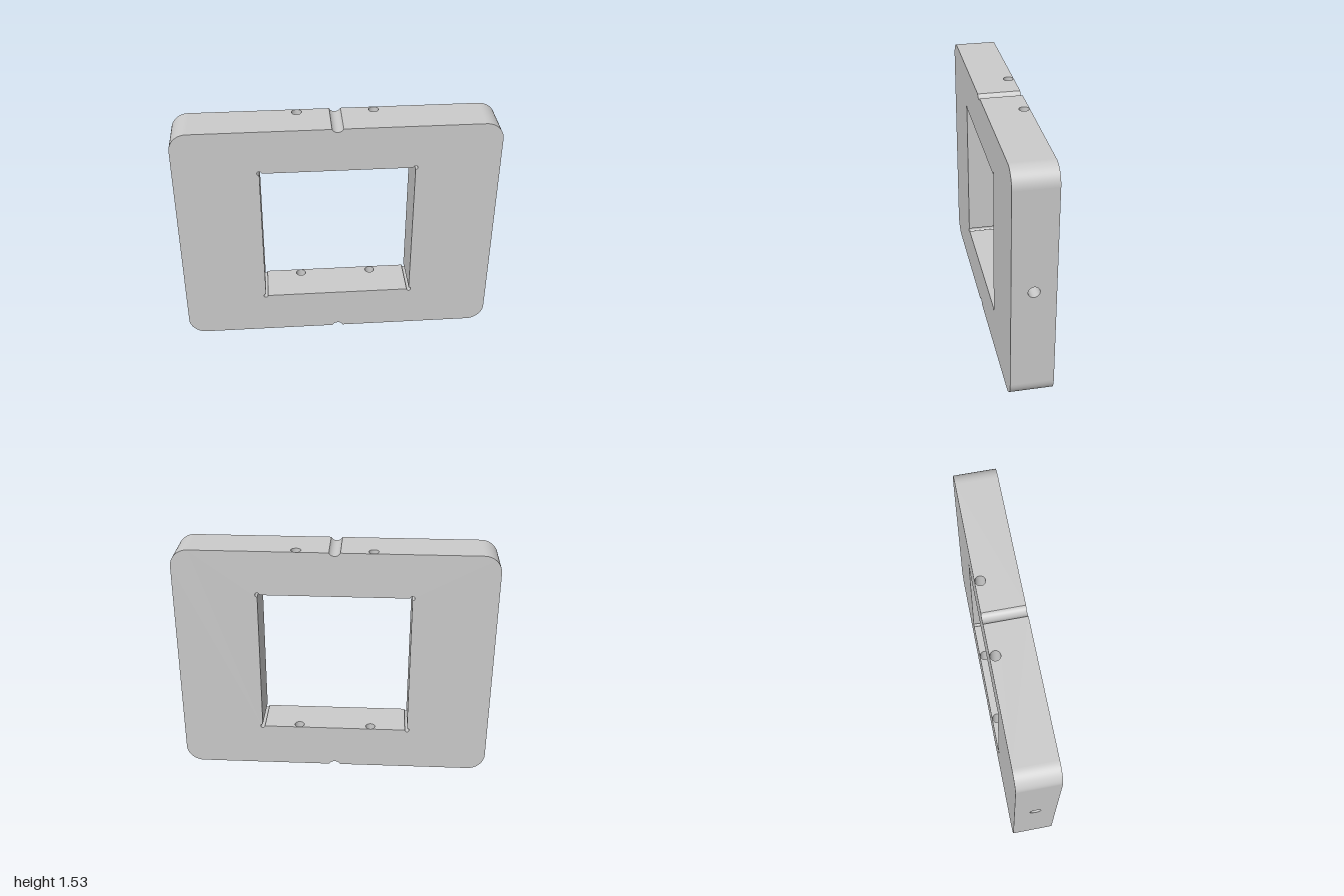
import * as THREE from 'three';

const H = 1.53, D = 0.132, R = 0.11;              // height, half depth, corner radius
const W = 0.477, B = 0.288, T = 1.243, RR = 0.014; // window half width, bottom, top, corner relief
const PX = 0.235, PZ = -0.098, PR = 0.031;         // vertical pin holes
const SR = 0.035, SD = 0.3;                        // blind side holes
const NR = 0.039, NC = 0.017;                      // notch radius, centre offset outside the edge
const SEG = 32;

export function createModel() {
  const model = new THREE.Group();
  const grey = new THREE.MeshStandardMaterial({ color: 0xcccccc });
  const inside = new THREE.MeshStandardMaterial({ color: 0xcccccc, side: THREE.BackSide });
  const add = (geometry, name, material = grey) => {
    const mesh = new THREE.Mesh(geometry, material);
    mesh.name = name;
    model.add(mesh);
    return mesh;
  };

  const arc = (cx, cy, r, from, to, n) => Array.from({ length: n + 1 }, (_, i) => {
    const a = from + (to - from) * i / n;
    return new THREE.Vector2(cx + r * Math.cos(a), cy + r * Math.sin(a));
  });

  // Smooth wall swept through the depth along an arc
  function curvedWall(points, name) {
    const position = [], index = [];
    points.forEach((p, i) => {
      position.push(p.x, p.y, -D, p.x, p.y, D);
      if (i) {
        const k = 2 * i;
        index.push(k - 2, k, k + 1, k - 2, k + 1, k - 1);
      }
    });
    const g = new THREE.BufferGeometry();
    g.setAttribute('position', new THREE.Float32BufferAttribute(position, 3));
    g.setIndex(index);
    g.computeVertexNormals();
    add(g, name);
  }

  // Flat wall from a to b, pierced where the drilled holes meet it
  function flatWall(a, b, name) {
    const length = a.distanceTo(b);
    const shape = new THREE.Shape([
      new THREE.Vector2(0, -D), new THREE.Vector2(length, -D),
      new THREE.Vector2(length, D), new THREE.Vector2(0, D),
    ]);
    const pierce = (u, v, r) => shape.holes.push(new THREE.Path().absarc(u, v, r, 0, Math.PI * 2, true));
    if (Math.abs(a.y - b.y) < 1e-6) {
      for (const x of [-PX, PX]) {
        if ((x - a.x) * (x - b.x) < 0) pierce(Math.abs(x - a.x), PZ, PR);
      }
    } else if (Math.abs(a.x) > 0.9) {
      pierce(length / 2, 0, SR);
    }
    const along = new THREE.Vector3(b.x - a.x, b.y - a.y, 0).normalize();
    const up = new THREE.Vector3(0, 0, 1);
    const basis = new THREE.Matrix4().makeBasis(along, up, along.clone().cross(up));
    basis.setPosition(a.x, a.y, 0);
    add(new THREE.ShapeGeometry(shape, SEG / 2).applyMatrix4(basis), name);
  }

  // Walls of a closed loop of arcs joined by straight runs
  function walls(arcs, name) {
    arcs.forEach((points, i) => {
      curvedWall(points, name + 'Curve');
      flatWall(points[points.length - 1], arcs[(i + 1) % arcs.length][0], name + 'Wall');
    });
    return arcs.flat();
  }

  const P = Math.PI, Q = P / 2, A = Math.asin(NC / NR);
  // Outer edge, counterclockwise: notches and rounded corners
  const outer = walls([
    arc(0, -NC, NR, P - A, A, 16),
    arc(1 - R, R, R, -Q, 0, 20),
    arc(1 - R, H - R, R, 0, Q, 20),
    arc(0, H + NC, NR, -A, A - P, 16),
    arc(R - 1, H - R, R, Q, P, 20),
    arc(R - 1, R, R, P, P + Q, 20),
  ], 'outer');
  // Window, clockwise: relief bores in the corners
  const inner = walls([
    arc(-W, B, RR, 0, -3 * Q, 18),
    arc(-W, T, RR, -Q, -4 * Q, 18),
    arc(W, T, RR, P, -Q, 18),
    arc(W, B, RR, Q, -P, 18),
  ], 'window');

  // Front and back faces
  const face = new THREE.Shape(outer);
  face.holes.push(new THREE.Path(inner));
  add(new THREE.ShapeGeometry(face), 'frontFace').position.z = D;
  const back = add(new THREE.ShapeGeometry(face), 'backFace');
  back.position.z = -D;
  back.rotation.y = P;

  for (const side of [-1, 1]) {
    // Pin holes through the lower and upper rails
    for (const [low, high] of [[0, B], [T, H]]) {
      const bore = add(new THREE.CylinderGeometry(PR, PR, high - low, SEG, 1, true), 'pinHole', inside);
      bore.position.set(side * PX, (low + high) / 2, PZ);
    }
    // Blind hole in each side
    const bore = add(new THREE.CylinderGeometry(SR, SR, SD, SEG, 1, true), 'sideHole', inside);
    bore.rotation.z = Q;
    bore.position.set(side * (1 - SD / 2), H / 2, 0);
    const floor = add(new THREE.CircleGeometry(SR, SEG), 'sideHoleFloor');
    floor.rotation.y = side * Q;
    floor.position.set(side * (1 - SD), H / 2, 0);
  }
  return model;
}
